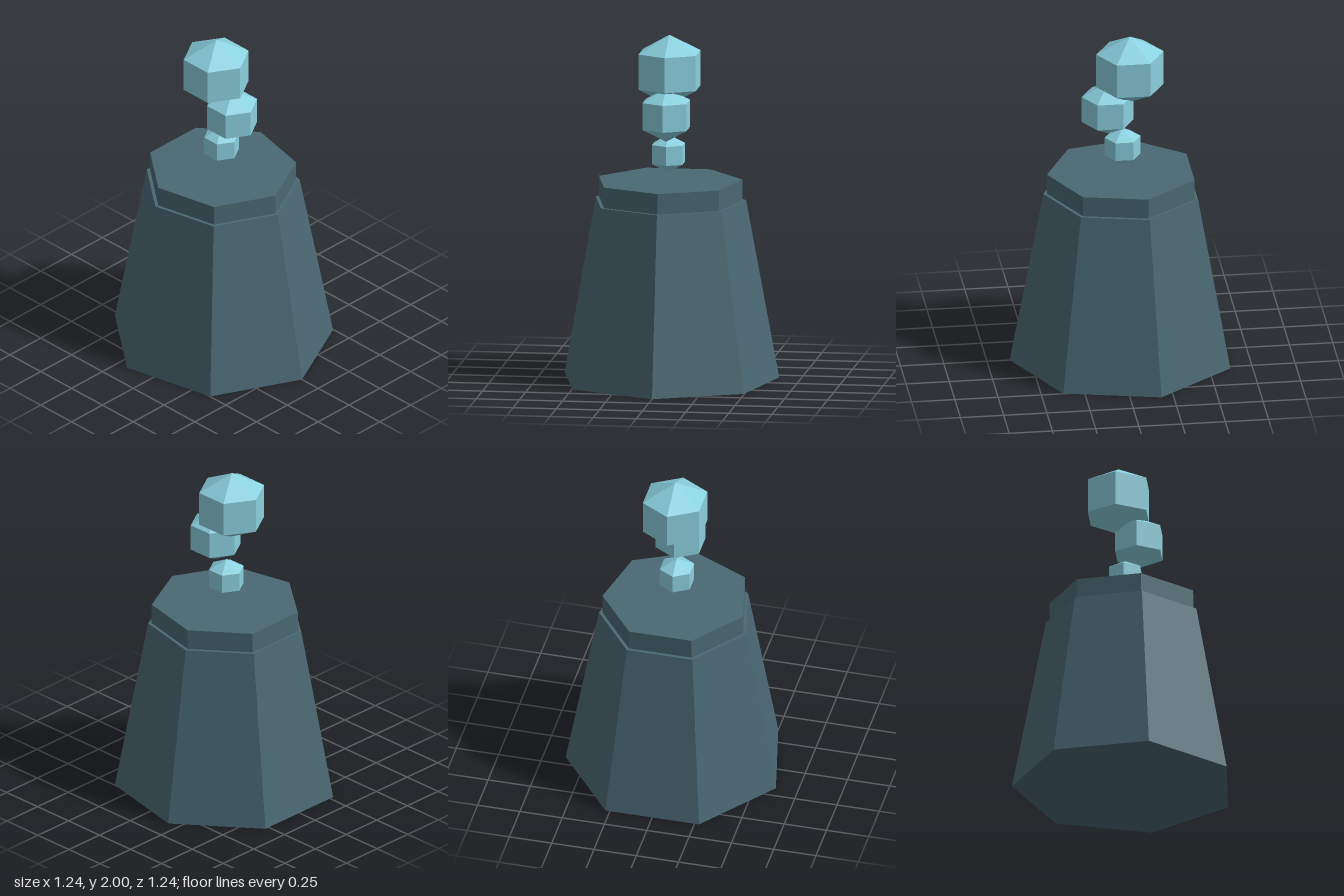
import * as THREE from 'three';

export function createModel() {
  const model = new THREE.Group();
  const stone = new THREE.MeshStandardMaterial({ color: 0x4a6874, flatShading: true });
  stone.name = 'slate stone';
  const crystal = new THREE.MeshStandardMaterial({ color: 0x8ad0de, flatShading: true });
  crystal.name = 'pale blue';

  // Seven-sided blocks with one corner towards +x, slightly narrower in depth
  function heptagon(name, topRadius, bottomRadius, y0, y1) {
    const geometry = new THREE.CylinderGeometry(topRadius, bottomRadius, y1 - y0, 7, 1, false, Math.PI / 2);
    const mesh = new THREE.Mesh(geometry, stone);
    mesh.name = name;
    mesh.position.set(-0.034, (y0 + y1) / 2, 0);
    mesh.scale.z = 0.976;
    model.add(mesh);
  }
  heptagon('taperedBase', 0.458, 0.653, 0, 1.037);
  heptagon('topCollar', 0.437, 0.437, 1.037, 1.157);

  // Floating six-sided puffs, growing as they rise: x, y, half height, radius
  const puffs = [
    [-0.034, 1.316, 0.111, 0.104],
    [0.052, 1.556, 0.157, 0.15],
    [-0.077, 1.795, 0.205, 0.195],
  ];
  puffs.forEach(([x, y, halfHeight, radius], i) => {
    const mesh = new THREE.Mesh(new THREE.SphereGeometry(1, 6, 3), crystal);
    mesh.name = `floatingPuff${i + 1}`;
    const width = radius / Math.sin(Math.PI / 3);
    mesh.scale.set(width, halfHeight, width * 0.984);
    mesh.position.set(x, y, 0);
    model.add(mesh);
  });

  return model;
}
